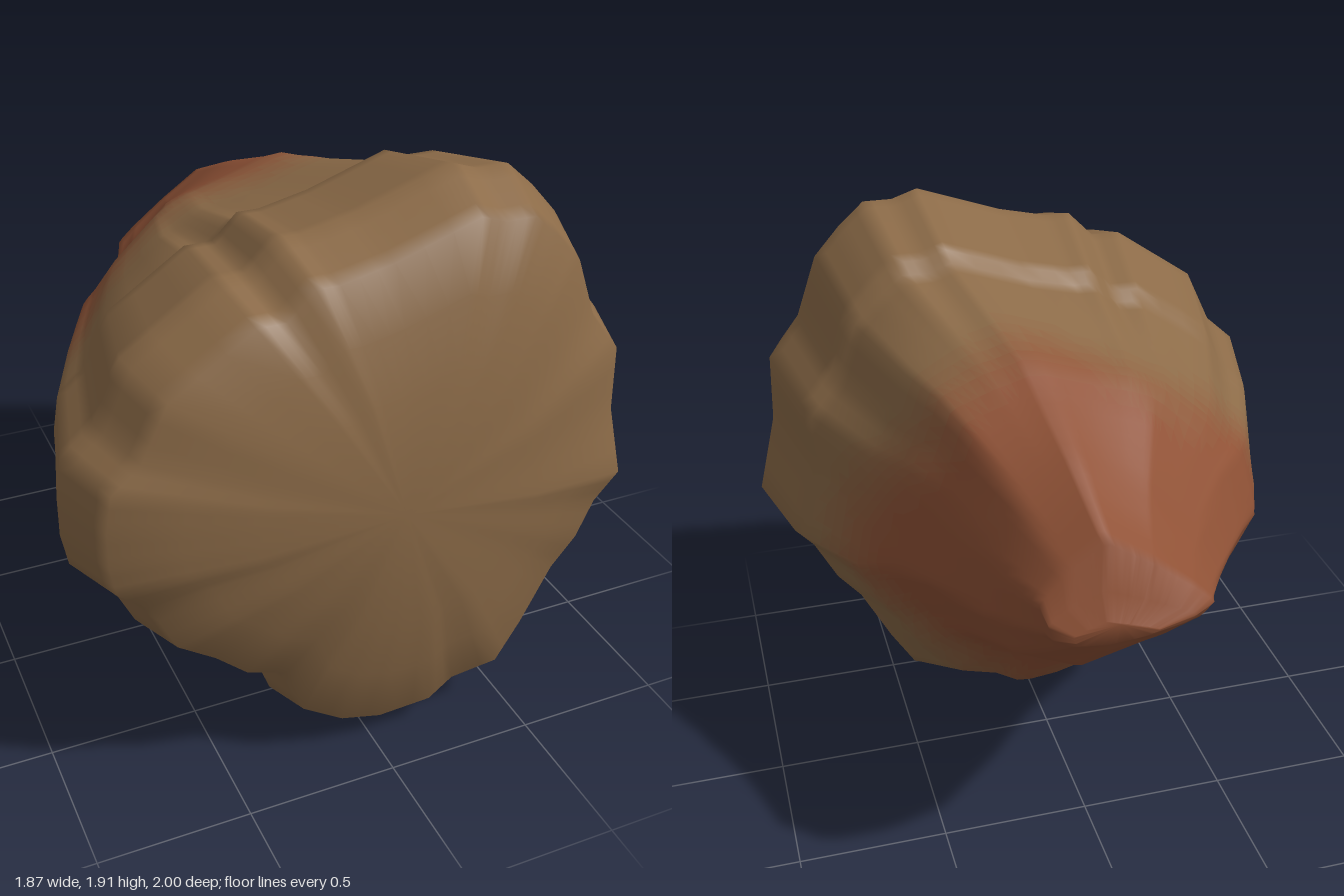
import * as THREE from 'three';

// Bumpy outline of the widest section, clockwise from the top
const OUTLINE = [
  [0.29, 1.91], [0.38, 1.88], [0.48, 1.88], [0.57, 1.80], [0.66, 1.70], [0.74, 1.48], [0.85, 1.34],
  [0.86, 1.10], [0.93, 0.82], [0.84, 0.72], [0.78, 0.58], [0.69, 0.47], [0.58, 0.25], [0.49, 0.10],
  [0.31, 0.08], [0.22, 0.01], [0.02, 0], [-0.13, 0.04], [-0.28, 0.14], [-0.35, 0.33], [-0.49, 0.38],
  [-0.60, 0.48], [-0.73, 0.57], [-0.82, 0.76], [-0.92, 0.84], [-0.94, 0.95], [-0.94, 1.08],
  [-0.92, 1.21], [-0.82, 1.30], [-0.73, 1.49], [-0.45, 1.68], [-0.35, 1.68], [-0.26, 1.77],
  [-0.18, 1.77], [0, 1.81],
];

// Section behind the middle in 0..1, clockwise: high shoulder on +x, long slope to a low -x corner
const REAR = [
  [0.64, 1.0], [0.87, 0.92], [0.96, 0.65], [1.0, 0.38], [0.88, 0.15], [0.6, 0.0],
  [0.28, 0.1], [0.06, 0.27], [0.0, 0.4], [0.1, 0.62], [0.32, 0.88],
];

// Section at the tip, point for point with REAR: a peak over a wide, low base
const TIP = [
  [0.63, 1.0], [0.86, 0.76], [1.0, 0.53], [0.97, 0.25], [0.85, 0.08], [0.6, 0.0],
  [0.3, 0.06], [0.08, 0.18], [0.0, 0.3], [0.12, 0.46], [0.35, 0.72],
];

// Sections from front to back: z, low x, high x, low y, high y
const SECTIONS = [
  [0.96, -0.45, 0.48, 0.54, 1.43],
  [0.85, -0.86, 0.86, 0.09, 1.83],
  [0.63, -0.94, 0.93, 0.00, 1.91],
  [0.25, -0.84, 0.85, 0.10, 1.82],
  [0.23, -0.84, 0.83, 0.11, 1.78],
  [-0.08, -0.75, 0.68, 0.27, 1.69],
  [-0.28, -0.66, 0.58, 0.50, 1.645],
  [-0.40, -0.57, 0.51, 0.60, 1.59],
  [-0.65, -0.39, 0.38, 0.74, 1.49],
  [-0.80, -0.31, 0.32, 0.88, 1.42],
  [-0.93, -0.25, 0.28, 1.00, 1.36],
  [-0.95, -0.19, 0.26, 1.03, 1.22],
  [-1.00, -0.06, 0.20, 1.07, 1.15],
];

const { lerp, clamp } = THREE.MathUtils;
const SPLIT = 3; // steps along each outline edge

// Outline with each edge subdivided, scaled to 0..1
function unitOutline() {
  const points = [];
  OUTLINE.forEach(([x, y], i) => {
    const [nx, ny] = OUTLINE[(i + 1) % OUTLINE.length];
    for (let k = 0; k < SPLIT; k++) {
      points.push([(lerp(x, nx, k / SPLIT) + 0.94) / 1.87, lerp(y, ny, k / SPLIT) / 1.91]);
    }
  });
  return points;
}

// Clockwise turn from one 0..1 point to another, seen from the middle
const angleOf = ([u, v]) => Math.atan2(v - 0.5, u - 0.5);
const turn = (from, to) => THREE.MathUtils.euclideanModulo(angleOf(from) - angleOf(to), Math.PI * 2);
const mix = (a, b, t) => a.map((value, axis) => lerp(value, b[axis], t));

// Point of a section polygon in the same direction as p
function pointOn(polygon, p) {
  for (let i = 0; i < polygon.length; i++) {
    const a = polygon[i], b = polygon[(i + 1) % polygon.length];
    const t = turn(a, p) / turn(a, b);
    if (t <= 1) return mix(a, b, t);
  }
  return p;
}

// One section: bumpy at the front, smooth and lopsided at the back
function ring(unit, [z, x0, x1, y0, y1]) {
  const blend = clamp((0.25 - z) / 0.7, 0, 1);
  const taper = clamp((-0.5 - z) / 0.43, 0, 1);
  const polygon = REAR.map((p, i) => mix(p, TIP[i], taper));
  const pts = unit.map((p) => mix(p, pointOn(polygon, p), blend));
  const us = pts.map((p) => p[0]), vs = pts.map((p) => p[1]);
  const fit = (t, list, lo, hi) => {
    const min = Math.min(...list), max = Math.max(...list);
    return lerp(lo, hi, (t - min) / (max - min));
  };
  return pts.map(([u, v]) => [fit(u, us, x0, x1), fit(v, vs, y0, y1), z]);
}

// Whole rock as one smooth indexed surface
function rockGeometry() {
  const unit = unitOutline();
  const n = unit.length;
  const rings = [];
  SECTIONS.forEach((section, i) => {
    const next = SECTIONS[i + 1];
    const steps = next ? Math.max(1, Math.round((section[0] - next[0]) / 0.05)) : 1;
    const from = ring(unit, section);
    const to = next && ring(unit, next);
    for (let k = 0; k < steps; k++) {
      rings.push(from.map((p, j) => (to ? mix(p, to[j], k / steps) : p)));
    }
  });
  const positions = rings.flat(2);
  const front = rings.length * n, back = front + 1;
  positions.push(0, 1.0, 1.0, 0.05, 1.11, -0.97);

  const index = [];
  const last = (rings.length - 1) * n;
  for (let i = 0; i < n; i++) {
    const j = (i + 1) % n;
    index.push(front, j, i, back, last + i, last + j);
    for (let r = 0; r < last; r += n) {
      index.push(r + i, r + j, r + n + i, r + j, r + n + j, r + n + i);
    }
  }
  const geometry = new THREE.BufferGeometry();
  geometry.setAttribute('position', new THREE.Float32BufferAttribute(positions, 3));
  geometry.setIndex(index);
  geometry.computeVertexNormals();
  return geometry;
}

// How red the stone is at a point: 0 brown, 1 rust
function redness(x, y, z) {
  const wobble = 0.06 * Math.sin(x * 9 + 1) + 0.04 * Math.sin(y * 8);
  const edge = 0.12 - 0.3 * Math.max(0, y - 1.1) + wobble;
  return THREE.MathUtils.smoothstep(edge - z, 0, 0.42);
}

export function createModel() {
  const group = new THREE.Group();
  group.name = 'rock';
  const whole = rockGeometry();
  const pos = whole.attributes.position;
  const idx = whole.index.array;

  // Sort the faces into tints that fade from brown to rust
  const TINTS = 10;
  const faces = Array.from({ length: TINTS }, () => []);
  for (let f = 0; f < idx.length; f += 3) {
    const corners = [idx[f], idx[f + 1], idx[f + 2]];
    const mid = ['getX', 'getY', 'getZ'].map((get) => corners.reduce((sum, v) => sum + pos[get](v) / 3, 0));
    faces[Math.round(redness(...mid) * (TINTS - 1))].push(...corners);
  }

  const brown = new THREE.Color(0x8c6b48), rust = new THREE.Color(0x905236);
  faces.forEach((list, i) => {
    if (!list.length) return;
    const geometry = new THREE.BufferGeometry();
    geometry.setAttribute('position', pos);
    geometry.setAttribute('normal', whole.attributes.normal);
    geometry.setIndex(list);
    const material = new THREE.MeshStandardMaterial({ color: brown.clone().lerp(rust, i / (TINTS - 1)) });
    const mesh = new THREE.Mesh(geometry, material);
    mesh.name = i === 0 ? 'brownStone' : i === TINTS - 1 ? 'rustStone' : `stoneBlend${i}`;
    group.add(mesh);
  });
  return group;
}
